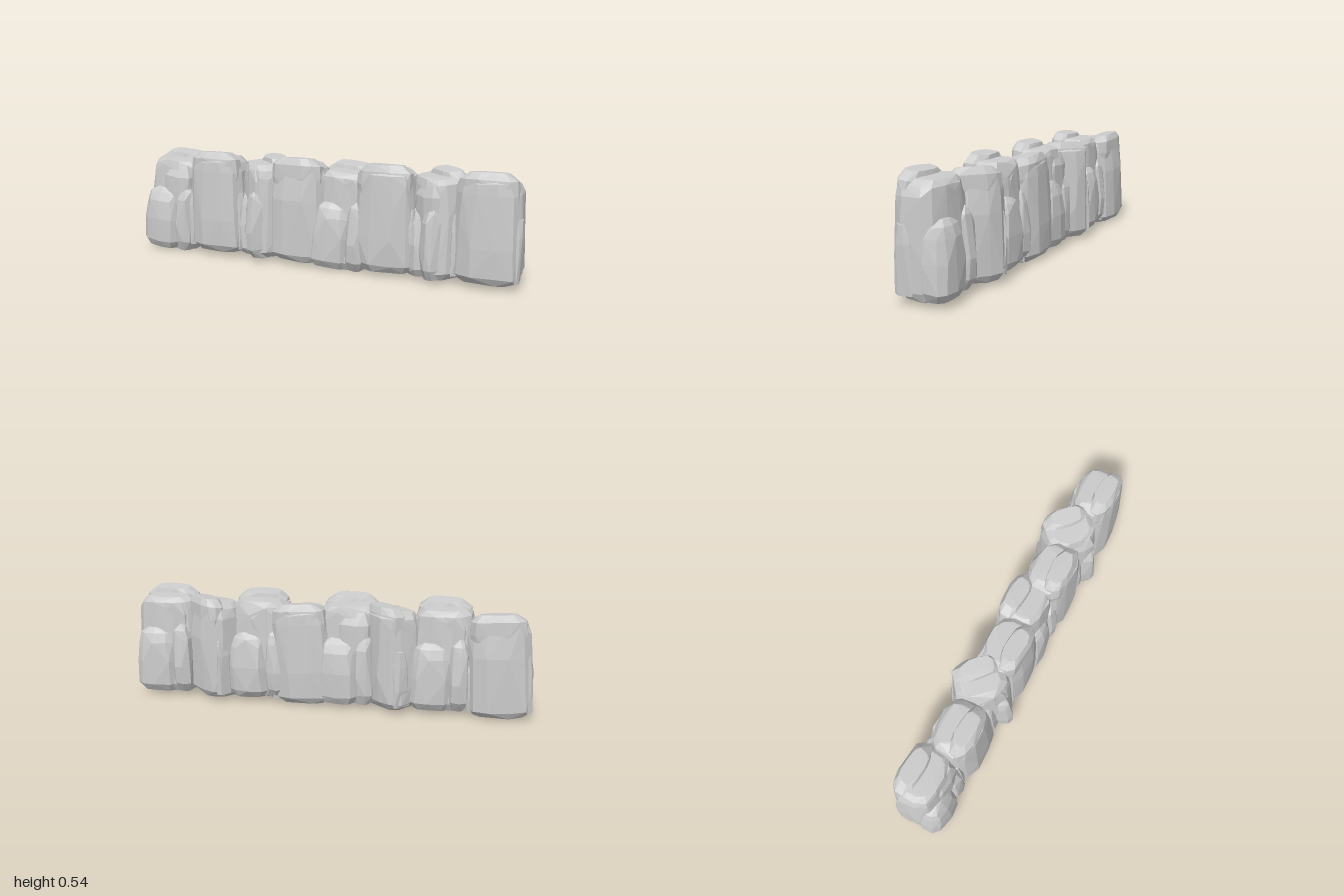
import * as THREE from 'three';
import { ConvexGeometry } from 'three/addons/geometries/ConvexGeometry.js';

const material = new THREE.MeshStandardMaterial({ color: 0xcccccc, flatShading: true });

function seeded(seed) {
  let s = seed * 7919 + 13;
  return () => (s = (s * 16807) % 2147483647) / 2147483647 - 0.5;
}

// Chiselled stone: hull around rounded rings [y, halfWidth, zBack, zFront, topTilt].
function stone(name, rings, cx, seed, rough = 0.014, sides = 12) {
  const rand = seeded(seed);
  for (let i = 0; i < 5; i++) rand();
  const points = [];
  for (const [y, hw, z0, z1, tilt = 0] of rings) {
    for (let i = 0; i < sides; i++) {
      const a = ((i + 0.5) / sides) * Math.PI * 2;
      const c = Math.cos(a), s = Math.sin(a);
      const px = Math.sign(c) * Math.abs(c) ** 0.8;
      const pz = Math.sign(s) * Math.abs(s) ** 0.65;
      const z = (z0 + z1) / 2 + (pz * (z1 - z0)) / 2;
      points.push(new THREE.Vector3(
        cx + px * hw + rand() * rough,
        y + z * tilt + rand() * rough * 0.4,
        z + rand() * rough
      ));
    }
  }
  const mesh = new THREE.Mesh(new ConvexGeometry(points), material);
  mesh.name = name;
  return mesh;
}

// One upright rock: tall slab facing +z, with lower stones leaning on its back.
function uprightRock(seed) {
  const rock = new THREE.Group();
  rock.add(
    stone('tallSlab', [
      [0.02, 0.135, -0.09, 0.11],
      [0.055, 0.167, -0.112, 0.135],
      [0.19, 0.164, -0.104, 0.138],
      [0.33, 0.157, -0.096, 0.133],
      [0.44, 0.15, -0.09, 0.128],
      [0.483, 0.138, -0.086, 0.123, 0.06],
      [0.506, 0.105, -0.075, 0.11, 0.06]
    ], 0, seed, 0.018),
    // Raised outer half of the crown, ending in a ridge across the middle
    stone('crownLedge', [
      [0.36, 0.13, 0.02, 0.118],
      [0.44, 0.142, 0.012, 0.124],
      [0.492, 0.134, 0.005, 0.122, 0.12],
      [0.526, 0.088, 0.015, 0.108, 0.12]
    ], 0, seed + 10, 0.01),
    stone('largeLowStone', [
      [0.02, 0.085, -0.12, 0],
      [0.06, 0.112, -0.143, 0],
      [0.18, 0.108, -0.146, 0],
      [0.28, 0.096, -0.136, 0],
      [0.325, 0.082, -0.122, 0],
      [0.352, 0.045, -0.1, 0]
    ], 0.052, seed + 20, 0.014, 10),
    stone('smallLowStone', [
      [0.02, 0.04, -0.1, 0],
      [0.07, 0.057, -0.128, 0],
      [0.16, 0.055, -0.134, 0],
      [0.3, 0.05, -0.122, 0],
      [0.345, 0.042, -0.112, 0],
      [0.375, 0.022, -0.09, 0]
    ], -0.085, seed + 40, 0.014, 9),
    // Shallow shoulder left where the upper back has broken away
    stone('brokenShoulder', [
      [0.28, 0.1, -0.102, 0],
      [0.42, 0.09, -0.1, 0],
      [0.48, 0.065, -0.085, 0]
    ], -0.03, seed + 60, 0.016, 9)
  );
  // Low chips along both flanks
  for (const side of [-1, 1]) {
    rock.add(stone('flankChip', [
      [0.04, 0.015, 0.01, 0.1],
      [0.13, 0.022, 0.005, 0.105],
      [0.25, 0.02, 0.02, 0.1],
      [0.33, 0.01, 0.04, 0.085]
    ], side * 0.143, seed + 80 + side, 0.014, 8));
  }
  return rock;
}

export function createModel() {
  const wall = new THREE.Group();
  wall.name = 'rockWall';
  // [x, y, z, turn, lean, width scale, height scale]
  const layout = [
    [-0.842, -0.014, -0.006, Math.PI, -0.07, 0.97, 0.975],
    [-0.555, 0, 0, 0, 0, 0.96, 1],
    [-0.318, -0.003, -0.004, 2.36, 0, 0.88, 0.97],
    [-0.1, 0, 0, 0, 0, 0.96, 1],
    [0.115, -0.014, -0.006, Math.PI, -0.06, 0.97, 0.975],
    [0.35, 0, 0, 0, 0, 0.96, 1],
    [0.58, -0.003, -0.004, 2.45, 0, 0.88, 0.97],
    [0.835, 0, 0, 0, 0, 0.99, 1]
  ];
  layout.forEach(([x, y, z, turn, lean, w, h], i) => {
    const rock = uprightRock(3 + (i % 3));
    rock.name = 'uprightRock' + (i + 1);
    rock.position.set(x, y, z);
    rock.rotation.order = 'ZYX';
    rock.rotation.set(0, turn, lean);
    rock.scale.set(w, h, 0.96);
    wall.add(rock);
  });
  return wall;
}
